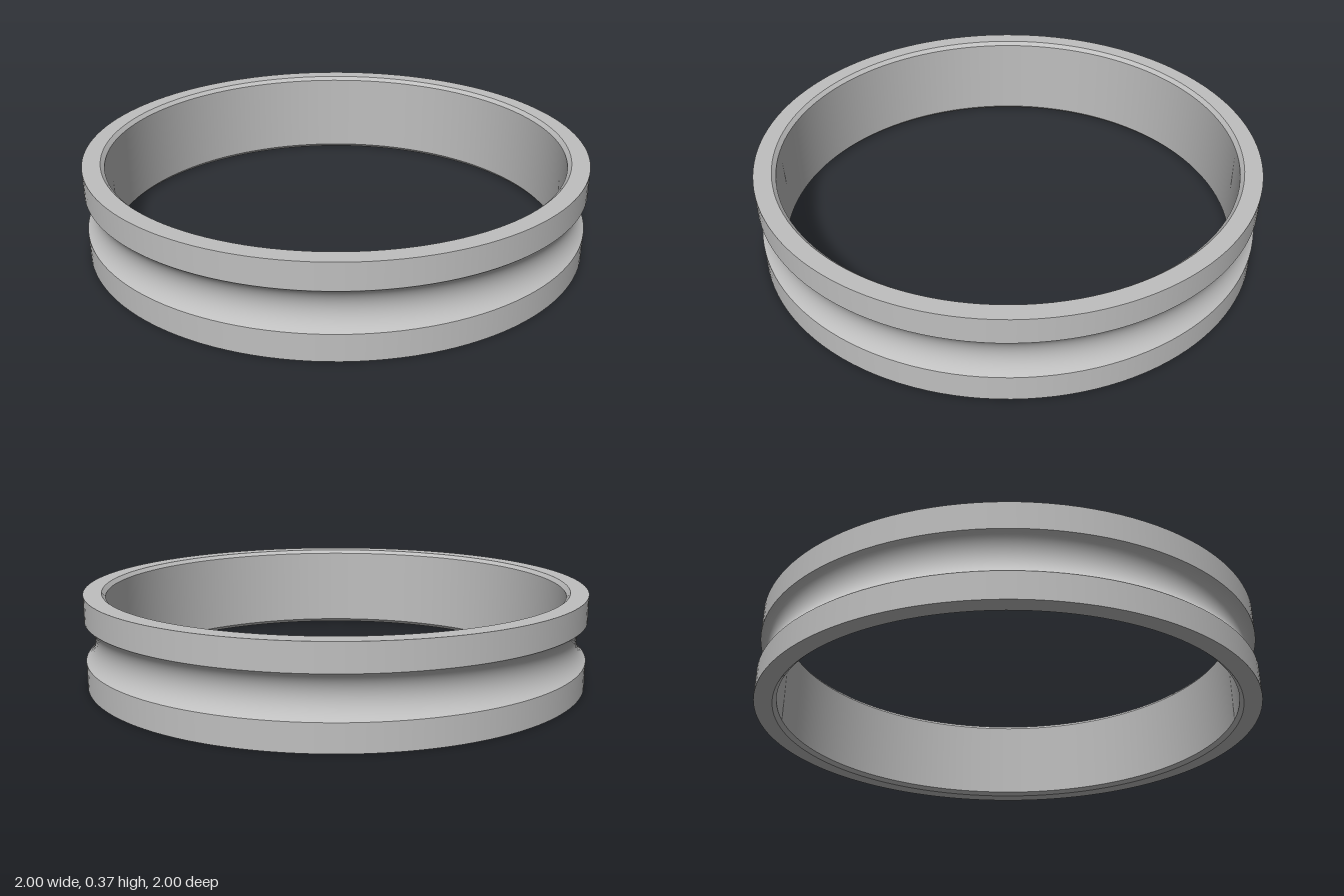
import * as THREE from 'three';

const HEIGHT = 0.365;
const OUTER = 1;
const BORE = 0.915;
const CHAMFER = 0.015;
const GROOVE_HALF = 0.079; // half the groove opening
const GROOVE_DEPTH = 0.038;
const SEGMENTS = 128;

export function createModel() {
  const group = new THREE.Group();
  group.name = 'groovedRing';
  const steel = new THREE.MeshStandardMaterial({ color: 0xbfbfbf });
  steel.name = 'steel grey';

  // Each section is its own lathe, so edges between sections stay sharp.
  // Outer sections run upwards and inner ones downwards, to face outwards.
  const addSection = (name, points) => {
    const profile = points.map(([r, y]) => new THREE.Vector2(r, y));
    const mesh = new THREE.Mesh(new THREE.LatheGeometry(profile, SEGMENTS), steel);
    mesh.name = name;
    group.add(mesh);
  };

  // Groove as a circular arc cut into the outer wall
  const mid = HEIGHT / 2;
  const radius = (GROOVE_HALF ** 2 + GROOVE_DEPTH ** 2) / (2 * GROOVE_DEPTH);
  const centre = OUTER - GROOVE_DEPTH + radius;
  const sweep = Math.asin(GROOVE_HALF / radius);
  const groove = [];
  for (let i = 0; i <= 20; i++) {
    const a = sweep * (i / 10 - 1);
    groove.push([centre - radius * Math.cos(a), mid + radius * Math.sin(a)]);
  }

  const lip = BORE + CHAMFER;
  const top = HEIGHT - CHAMFER;

  // Outside
  addSection('lowerBand', [[OUTER, 0], [OUTER, mid - GROOVE_HALF]]);
  addSection('groove', groove);
  addSection('upperBand', [[OUTER, mid + GROOVE_HALF], [OUTER, HEIGHT]]);
  // Top rim, bore and bottom rim
  addSection('topFace', [[OUTER, HEIGHT], [lip, HEIGHT]]);
  addSection('topChamfer', [[lip, HEIGHT], [BORE, top]]);
  addSection('bore', [[BORE, top], [BORE, CHAMFER]]);
  addSection('bottomChamfer', [[BORE, CHAMFER], [lip, 0]]);
  addSection('bottomFace', [[lip, 0], [OUTER, 0]]);

  return group;
}
